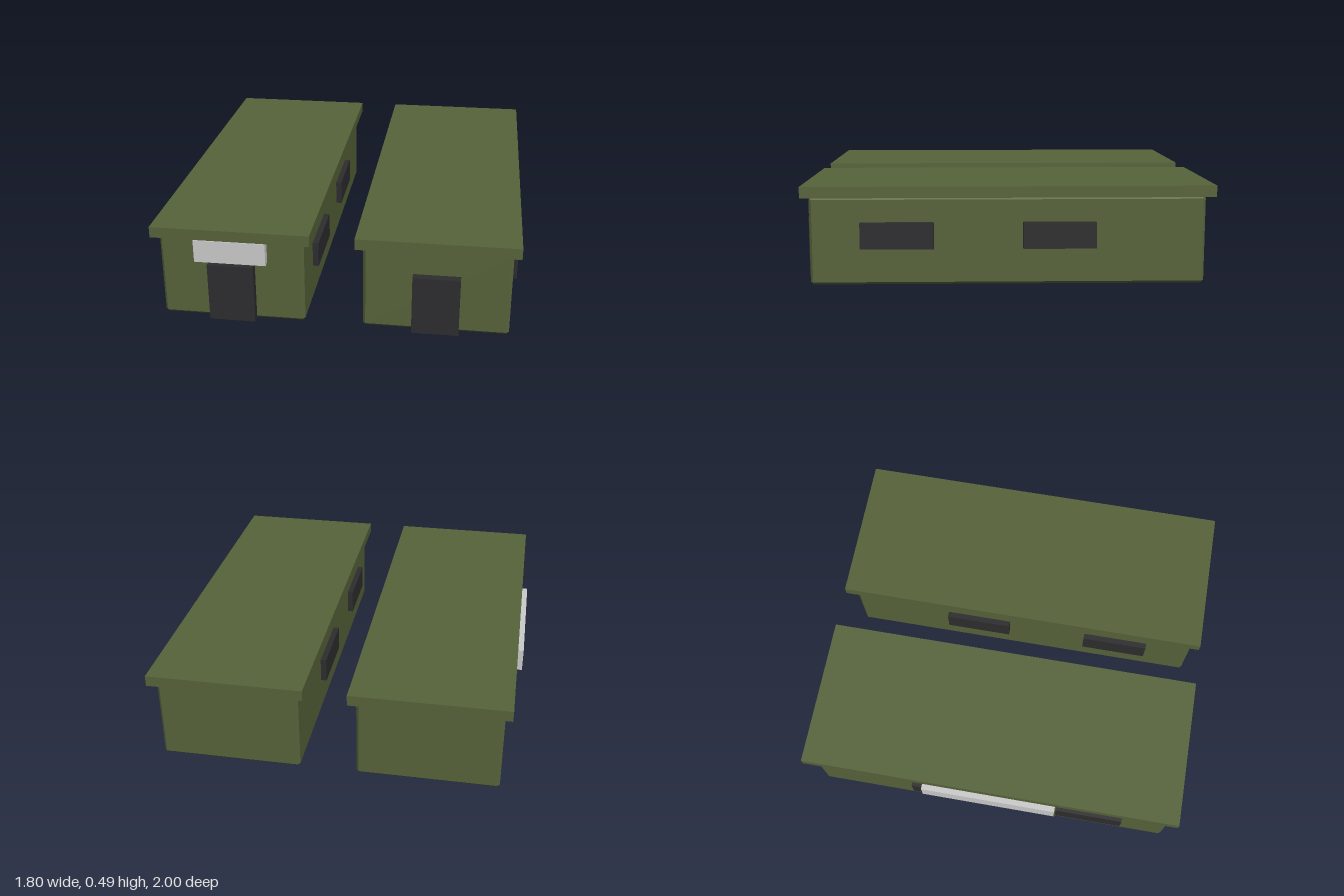
import * as THREE from 'three';
import { ConvexGeometry } from 'three/addons/geometries/ConvexGeometry.js';

const olive = new THREE.MeshStandardMaterial({ color: 0x57633a, flatShading: true });
const dark = new THREE.MeshStandardMaterial({ color: 0x2d2d2f, flatShading: true });
const grey = new THREE.MeshStandardMaterial({ color: 0xcccccc, flatShading: true });

// Box given by its lower and upper corners
function block(name, material, x0, x1, y0, y1, z0, z1) {
  const mesh = new THREE.Mesh(new THREE.BoxGeometry(x1 - x0, y1 - y0, z1 - z0), material);
  mesh.position.set((x0 + x1) / 2, (y0 + y1) / 2, (z0 + z1) / 2);
  mesh.name = name;
  return mesh;
}

// Box with every edge cut by a flat chamfer
function chamferedBox(w, h, d, c) {
  const points = [];
  for (const x of [-1, 1]) for (const y of [-1, 1]) for (const z of [-1, 1]) {
    for (let axis = 0; axis < 3; axis++) {
      const inset = [c, c, c];
      inset[axis] = 0;
      points.push(new THREE.Vector3(
        x * (w / 2 - inset[0]), y * (h / 2 - inset[1]), z * (d / 2 - inset[2])));
    }
  }
  return new ConvexGeometry(points);
}

function createBuilding(name, x) {
  const building = new THREE.Group();
  building.name = name;
  building.position.x = x;

  // Walls and overhanging flat roof
  const walls = new THREE.Mesh(chamferedBox(0.71, 0.43, 1.915, 0.013), olive);
  walls.name = 'walls';
  walls.position.y = 0.215;
  building.add(walls);
  building.add(block('roof', olive, -0.39, 0.39, 0.43, 0.485, -1, 0.993));

  // Front door
  building.add(block('door', dark, -0.114, 0.114, 0.003, 0.302, 0.94, 1));

  // Two windows on each long side
  for (const side of [-1, 1]) {
    for (const z of [0.535, -0.25]) {
      const xs = [side * 0.345, side * 0.385].sort((a, b) => a - b);
      building.add(block('window', dark, xs[0], xs[1], 0.18, 0.308, z - 0.177, z + 0.177));
    }
  }
  return building;
}

export function createModel() {
  const model = new THREE.Group();
  model.name = 'twoBarracks';

  const signed = createBuilding('rightBuilding', -0.486);
  // Blank sign boards over the door and along the outer side
  signed.add(block('frontSign', grey, -0.176, 0.176, 0.315, 0.43, 0.957, 0.998));
  signed.add(block('sideSign', grey, -0.419, -0.379, 0.315, 0.43, -0.357, 0.35));

  model.add(signed, createBuilding('leftBuilding', 0.51));
  return model;
}
